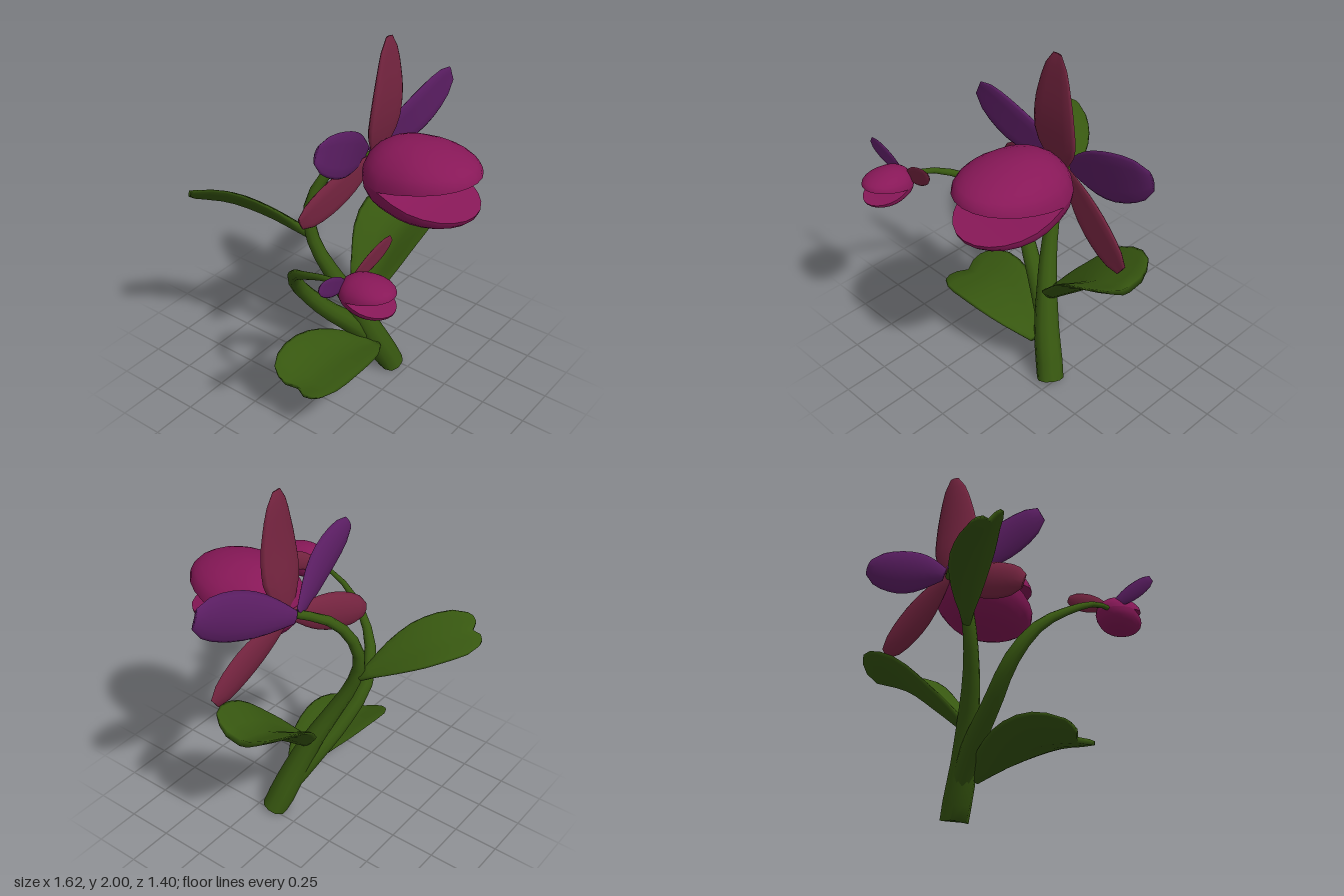
import * as THREE from 'three';
import { toCreasedNormals } from 'three/addons/utils/BufferGeometryUtils.js';

const mat = (color) => new THREE.MeshStandardMaterial({ color });
const green = mat(0x375710), magenta = mat(0x881858), purple = mat(0x5c1e64), red = mat(0x772541);
const V = (p) => new THREE.Vector3(...p);

// Lofts closed cross-sections along a curve. thick(u, width) is the half thickness,
// fold lifts the margins into a V, lobe pushes the two halves of the tip forward.
function loft(points, side, widths, { thick, fold = 0, lobe = 0, sides = 16 }) {
  const curve = new THREE.CatmullRomCurve3(points.map(V));
  const pos = [], index = [], last = widths.length - 1;
  widths.forEach((w, i) => {
    const u = i / last, c = curve.getPointAt(u), T = curve.getTangentAt(u);
    const S = V(side).addScaledVector(T, -V(side).dot(T)).normalize();
    const N = T.clone().cross(S);
    for (let j = 0; j < sides; j++) {
      const a = (j / sides) * Math.PI * 2, v = Math.cos(a), r = Math.abs(v);
      const p = c.clone().addScaledVector(S, w * v)
        .addScaledVector(N, thick(u, w) * Math.sin(a) + fold * w * Math.pow(r, 1.3))
        .addScaledVector(T, lobe * u ** 4 * Math.sin(Math.PI * r));
      pos.push(p.x, Math.max(0, p.y), p.z);
    }
  });
  for (let i = 0; i < last; i++) {
    for (let j = 0; j < sides; j++) {
      const k = (j + 1) % sides, a = i * sides, b = a + sides;
      index.push(a + j, a + k, b + k, a + j, b + k, b + j);
    }
  }
  // Zip the two ends shut across the section
  const e = last * sides;
  for (let j = 0; j < sides / 2; j++) {
    const k = (sides - j) % sides, k1 = sides - j - 1;
    index.push(e + j, e + j + 1, e + k1, e + j, e + k1, e + k);
    index.push(j, k1, j + 1, j, k, k1);
  }
  const g = new THREE.BufferGeometry();
  g.setAttribute('position', new THREE.Float32BufferAttribute(pos, 3));
  g.setIndex(index);
  g.computeVertexNormals();
  return g;
}

function add(parent, name, geometry, material) {
  const m = new THREE.Mesh(geometry, material);
  m.name = name;
  parent.add(m);
}

const stem = (points, side, radii) =>
  toCreasedNormals(loft(points, side, radii, { thick: (u, w) => w, sides: 10 }), 1.1);

const leaf = (points, side, widths, fold, thickness) =>
  loft(points, side, widths, { thick: (u) => thickness * (1 - 0.45 * u), fold, lobe: 0.032 });

// Lens-shaped petal lying mostly in the xy plane, bowed along z
function petal(from, to, half, profile, bow = 0, plump = 0.2) {
  const a = V(from), b = V(to), mid = a.clone().lerp(b, 0.5);
  mid.z += bow;
  const side = new THREE.Vector3(0, 0, 1).cross(b.clone().sub(a)).normalize();
  return loft([from, mid.toArray(), to], side.toArray(), profile.map((w) => w * half),
    { thick: (u, w) => plump * w, fold: 0.12, sides: 12 });
}
const blunt = [0.28, 0.5, 0.7, 0.86, 0.96, 1, 0.98, 0.91, 0.76, 0.4];
const slender = [0.3, 0.62, 0.88, 1, 1, 0.96, 0.89, 0.78, 0.66, 0.5, 0.2];

// One half of the open lip: a dome whose flat face curves away from the mouth line
function lipHalf(dir, spread) {
  const g = new THREE.SphereGeometry(1, 24, 14), p = g.attributes.position;
  for (let i = 0; i < p.count; i++) {
    const pz = p.getZ(i), h = Math.max(0, p.getY(i) * dir);
    const z = pz < 0 ? -0.31 * Math.pow(-pz, 0.85) : 0.32 * pz;
    const gap = spread * Math.pow(Math.max(0, (z + 0.05) / 0.37), 0.6);
    p.setXYZ(i, p.getX(i) * 0.255, dir * (gap + (0.207 - gap) * h), z);
  }
  g.deleteAttribute('uv');
  return toCreasedNormals(g, 0.9);
}

function lip(name, center, scale) {
  const g = new THREE.Group();
  g.name = name;
  add(g, 'upperLip', lipHalf(1, 0.084), magenta);
  add(g, 'lowerLip', lipHalf(-1, 0.102), magenta);
  g.position.set(...center);
  g.scale.setScalar(scale);
  return g;
}

export function createModel() {
  const root = new THREE.Group();
  root.name = 'orchid';

  // Stems
  add(root, 'mainStem', stem(
    [[0.22, 0.005, 0.155], [0.185, 0.1, 0.13], [0.125, 0.25, 0.088], [0.057, 0.45, 0.02], [-0.018, 0.65, -0.07],
      [-0.067, 0.85, -0.16], [-0.065, 1.02, -0.2], [-0.015, 1.18, -0.17], [0.07, 1.29, -0.1], [0.19, 1.34, 0.04]],
    [1, 0, 0],
    [0.074, 0.075, 0.073, 0.069, 0.064, 0.058, 0.053, 0.048, 0.043, 0.039, 0.036, 0.034, 0.032, 0.03, 0.028, 0.026, 0.024, 0.022]), green);
  add(root, 'budStem', stem(
    [[0.155, 0.16, 0.1], [0.045, 0.32, 0.03], [-0.12, 0.5, -0.05], [-0.27, 0.7, -0.1], [-0.39, 0.87, -0.04],
      [-0.5, 1.0, 0.12], [-0.555, 1.09, 0.3], [-0.57, 1.12, 0.46]],
    [0.7, 0.7, 0],
    [0.05, 0.055, 0.056, 0.054, 0.05, 0.047, 0.043, 0.04, 0.036, 0.031, 0.026, 0.022, 0.019, 0.016, 0.014, 0.012]), green);

  // Leaves
  add(root, 'leftLeaf', leaf(
    [[0.1, 0.47, 0.03], [0.25, 0.595, 0.03], [0.42, 0.725, 0.02], [0.63, 0.812, 0.02]], [0, 0, -1],
    [0.045, 0.095, 0.13, 0.155, 0.18, 0.203, 0.22, 0.225, 0.216, 0.18], 0.48, 0.03), green);
  add(root, 'rightLeaf', leaf(
    [[0.085, 0.205, 0.14], [-0.1, 0.277, 0.115], [-0.32, 0.313, 0.09], [-0.522, 0.288, 0.08]], [0, -0.12, 1],
    [0.035, 0.085, 0.13, 0.163, 0.188, 0.205, 0.214, 0.214, 0.2, 0.163], 0.28, 0.028), green);
  add(root, 'backLeaf', leaf(
    [[-0.07, 0.9, -0.2], [-0.2, 1.03, -0.36], [-0.33, 1.12, -0.505], [-0.46, 1.16, -0.625]], [-0.75, 0.58, 0.5],
    [0.02, 0.045, 0.075, 0.1, 0.12, 0.135, 0.14, 0.138, 0.13, 0.1], 0.25, 0.026), green);

  // Large open flower
  const flower = new THREE.Group();
  flower.name = 'largeFlower';
  root.add(flower);
  flower.add(lip('largeLip', [0.155, 1.32, 0.35], 1));
  add(flower, 'topSepal', petal([0.18, 1.35, 0.06], [0.203, 1.998, 0.1], 0.137, slender, 0.015), red);
  add(flower, 'leftPetal', petal([0.2, 1.335, 0.0], [0.79, 1.592, 0.1], 0.13, blunt, 0.02), purple);
  add(flower, 'rightPetal', petal([0.17, 1.35, 0.0], [-0.355, 1.592, 0.09], 0.122, blunt, 0.02), purple);
  add(flower, 'leftLowerSepal', petal([0.2, 1.34, 0.04], [0.67, 1.025, 0.13], 0.105, blunt, 0.005), red);
  add(flower, 'rightLowerSepal', petal([0.18, 1.33, 0.04], [-0.315, 1.137, -0.05], 0.105, blunt, 0, 0.27), red);

  // Small half-open flower
  const bud = new THREE.Group();
  bud.name = 'smallFlower';
  root.add(bud);
  bud.add(lip('smallLip', [-0.57, 1.115, 0.55], 0.45));
  add(bud, 'budLeftPetal', petal([-0.56, 1.125, 0.44], [-0.305, 1.265, 0.49], 0.052, blunt), red);
  add(bud, 'budRightPetal', petal([-0.58, 1.13, 0.44], [-0.805, 1.245, 0.46], 0.05, blunt), purple);

  return root;
}
